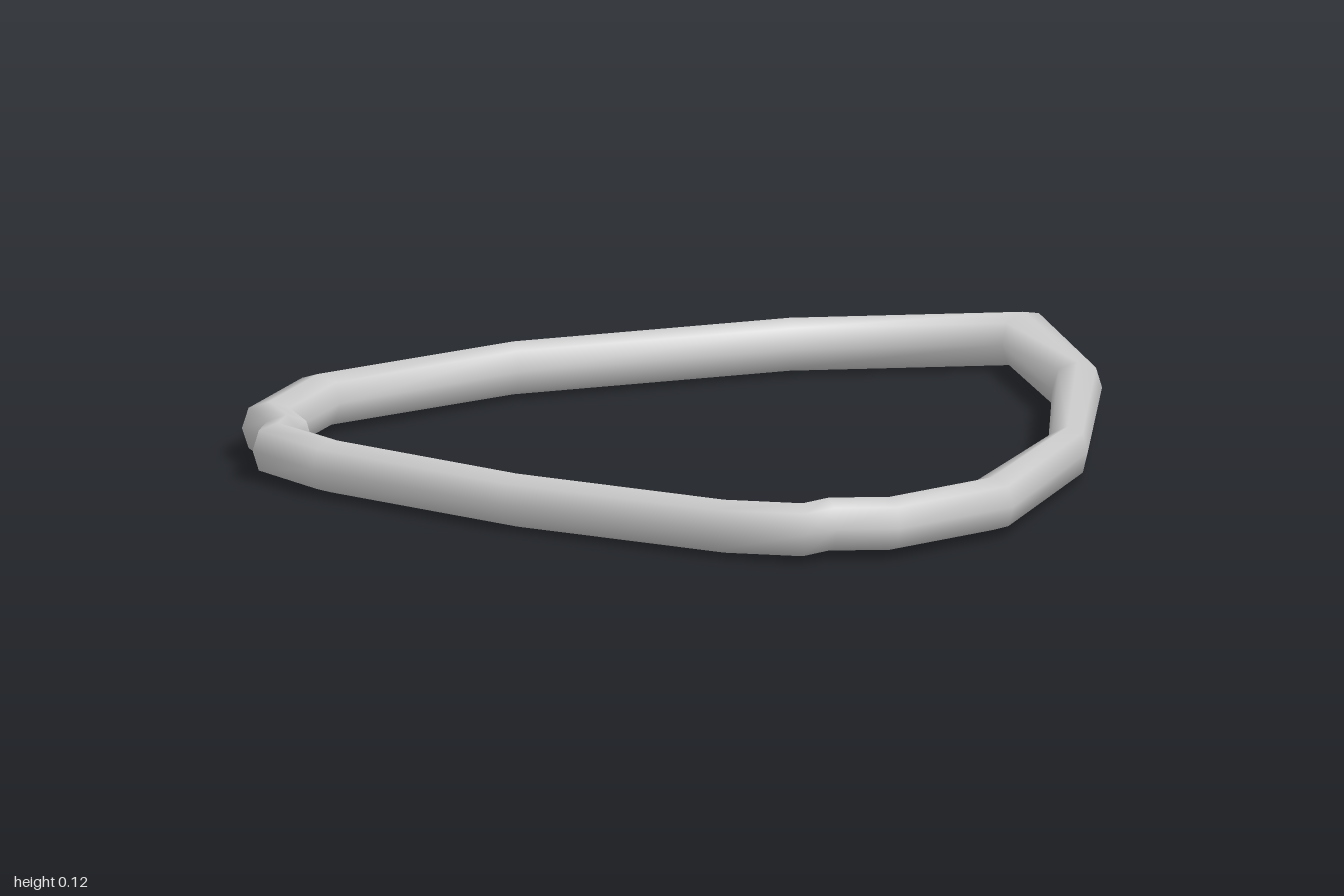
import * as THREE from 'three';

// Right-hand half of the loop, back tip to front middle:
// outer x, outer z, inner x, inner z, centre height
const HALF = [
  [0, -1.0, 0, -0.845, 0.062],
  [0.405, -0.63, 0.33, -0.555, 0.063],
  [0.74, -0.095, 0.675, -0.04, 0.066],
  [0.915, 0.43, 0.805, 0.43, 0.069],
  [0.84, 0.74, 0.745, 0.677, 0.07],
  [0.735, 0.82, 0.648, 0.757, 0.07],
  [0.705, 0.895, 0.635, 0.81, 0.067],
  [0.51, 0.955, 0.497, 0.845, 0.062],
  [0, 0.995, 0, 0.88, 0.06],
];
const SIDES = 8;
const HALF_HEIGHT = 0.057;

// Closed mitred tube whose sections span from the outer to the inner outline
function loopGeometry() {
  const mirrored = HALF.slice(1, -1).reverse().map(([ox, oz, ix, iz, y]) => [-ox, oz, -ix, iz, y]);
  const stations = [...HALF, ...mirrored];
  const positions = [];
  const index = [];
  stations.forEach(([ox, oz, ix, iz, y], i) => {
    const next = (i + 1) % stations.length;
    for (let j = 0; j < SIDES; j++) {
      const a = (j / SIDES) * Math.PI * 2;
      const swell = j % 2 ? 1.07 : 1; // slightly squared section
      const c = Math.cos(a) * swell;
      const s = Math.sin(a) * swell;
      positions.push(
        (ox + ix) / 2 + (c * (ox - ix)) / 2,
        y + s * HALF_HEIGHT,
        (oz + iz) / 2 + (c * (oz - iz)) / 2,
      );
      const k = (j + 1) % SIDES;
      const p = i * SIDES + j, q = i * SIDES + k;
      const r = next * SIDES + j, t = next * SIDES + k;
      index.push(p, q, r, q, t, r);
    }
  });
  const geometry = new THREE.BufferGeometry();
  geometry.setAttribute('position', new THREE.Float32BufferAttribute(positions, 3));
  geometry.setIndex(index);
  geometry.computeVertexNormals();
  return geometry;
}

export function createModel() {
  const group = new THREE.Group();
  group.name = 'pointedLoop';
  const material = new THREE.MeshStandardMaterial({ color: 0xcccccc });
  const loop = new THREE.Mesh(loopGeometry(), material);
  loop.name = 'tubeFrame';
  group.add(loop);
  return group;
}
